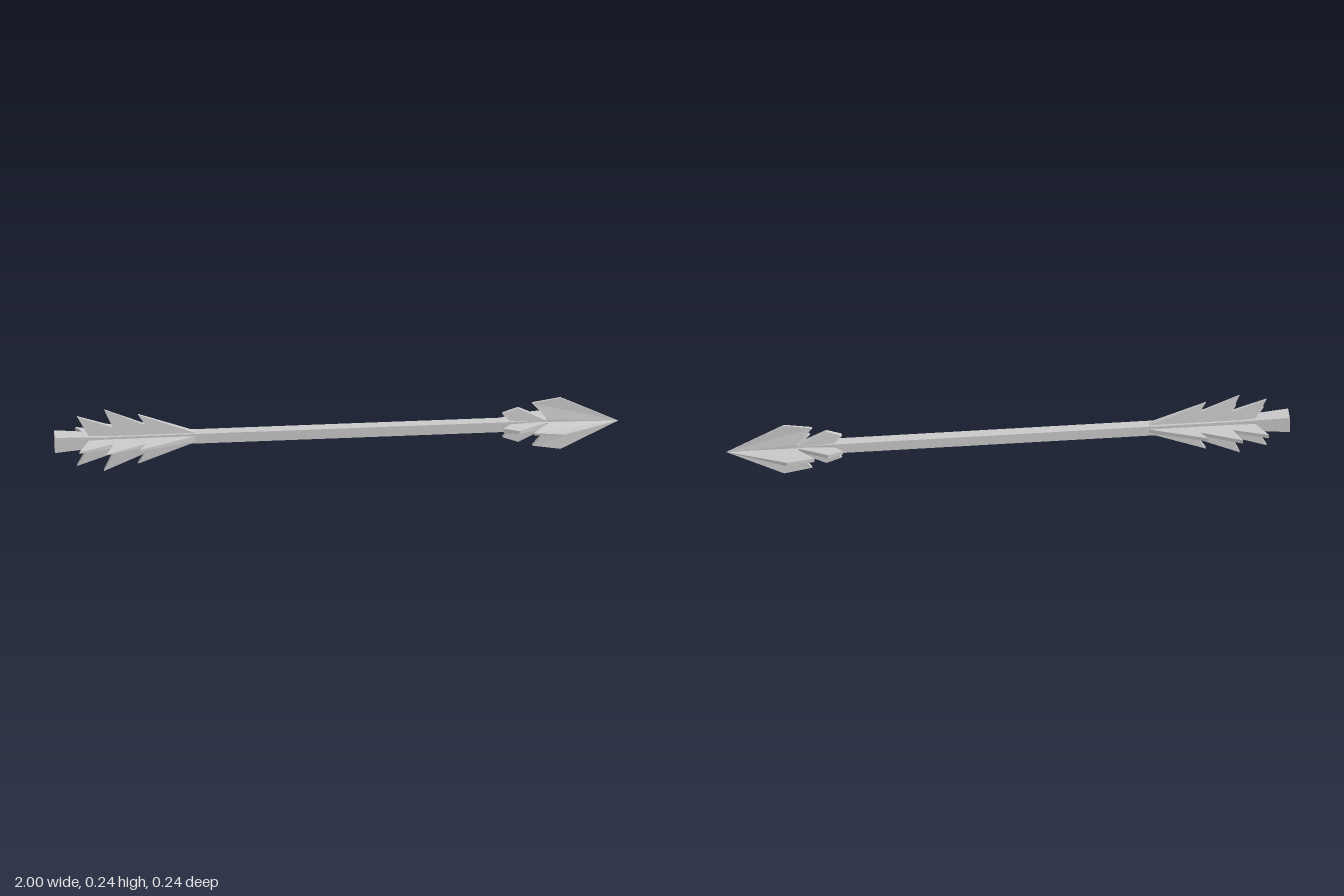
import * as THREE from 'three';

const AXIS_Y = 0.122;
const material = new THREE.MeshStandardMaterial({ color: 0xcccccc, flatShading: true });

// Outlines as [position along the shaft, distance from its axis]
const FLETCHING = [[-0.5, 0], [-0.5, 0.018], [-0.705, 0.096], [-0.68, 0.056], [-0.825, 0.12],
  [-0.795, 0.052], [-0.92, 0.096], [-0.88, 0.022], [-0.92, 0]];
const HEAD = [[0.995, 0], [0.79, 0.1], [0.69, 0.083], [0.745, 0.02], [0.7, 0]];
const BARB = [[0.76, 0], [0.74, 0.016], [0.64, 0.066], [0.585, 0.046], [0.61, 0.02], [0.61, 0]];

// Flat blade: tapered to a thin edge, or of even thickness, and narrowing into the arrow tip
function blade(name, outline, turn, tapered) {
  const shape = new THREE.Shape(outline.map(([x, r]) => new THREE.Vector2(x, r)));
  const geometry = new THREE.ExtrudeGeometry(shape, { depth: 2, bevelEnabled: false });
  geometry.translate(0, 0, -1);
  const p = geometry.attributes.position;
  for (let i = 0; i < p.count; i++) {
    const r = p.getY(i);
    const half = tapered ? 0.012 - 0.088 * r : 0.007;
    const toTip = Math.min(1, Math.max(0.05, (0.995 - p.getX(i)) / 0.2));
    p.setZ(i, p.getZ(i) * half * toTip);
  }
  geometry.computeVertexNormals();
  const mesh = new THREE.Mesh(geometry, material);
  mesh.name = name;
  mesh.rotation.x = turn * Math.PI / 2;
  return mesh;
}

// Square bar along x, from [x, half width] stations
function squareBar(name, stations) {
  const points = stations.map(([x, h]) => new THREE.Vector2(h * Math.SQRT2, x));
  const geometry = new THREE.LatheGeometry(points, 4, Math.PI / 4).rotateZ(-Math.PI / 2);
  const mesh = new THREE.Mesh(geometry.toNonIndexed(), material);
  mesh.geometry.computeVertexNormals();
  mesh.name = name;
  return mesh;
}

export function createModel() {
  const arrow = new THREE.Group();
  arrow.name = 'arrow';

  // Shaft with a point under the head, and the flared nock
  arrow.add(squareBar('shaft', [[-0.86, 0], [-0.86, 0.019], [0.61, 0.019], [0.85, 0]]));
  arrow.add(squareBar('nock', [[-1, 0], [-1, 0.03], [-0.82, 0.019], [-0.82, 0]]));

  // Four blades of each kind; the upper and front ones have a thin edge
  for (let turn = 0; turn < 4; turn++) {
    const tapered = turn < 2;
    arrow.add(blade('fletching', FLETCHING, turn, tapered));
    arrow.add(blade('headBlade', HEAD, turn, tapered));
    arrow.add(blade('headBarb', BARB, turn, tapered));
  }

  arrow.position.y = AXIS_Y;
  const model = new THREE.Group();
  model.add(arrow);
  return model;
}
